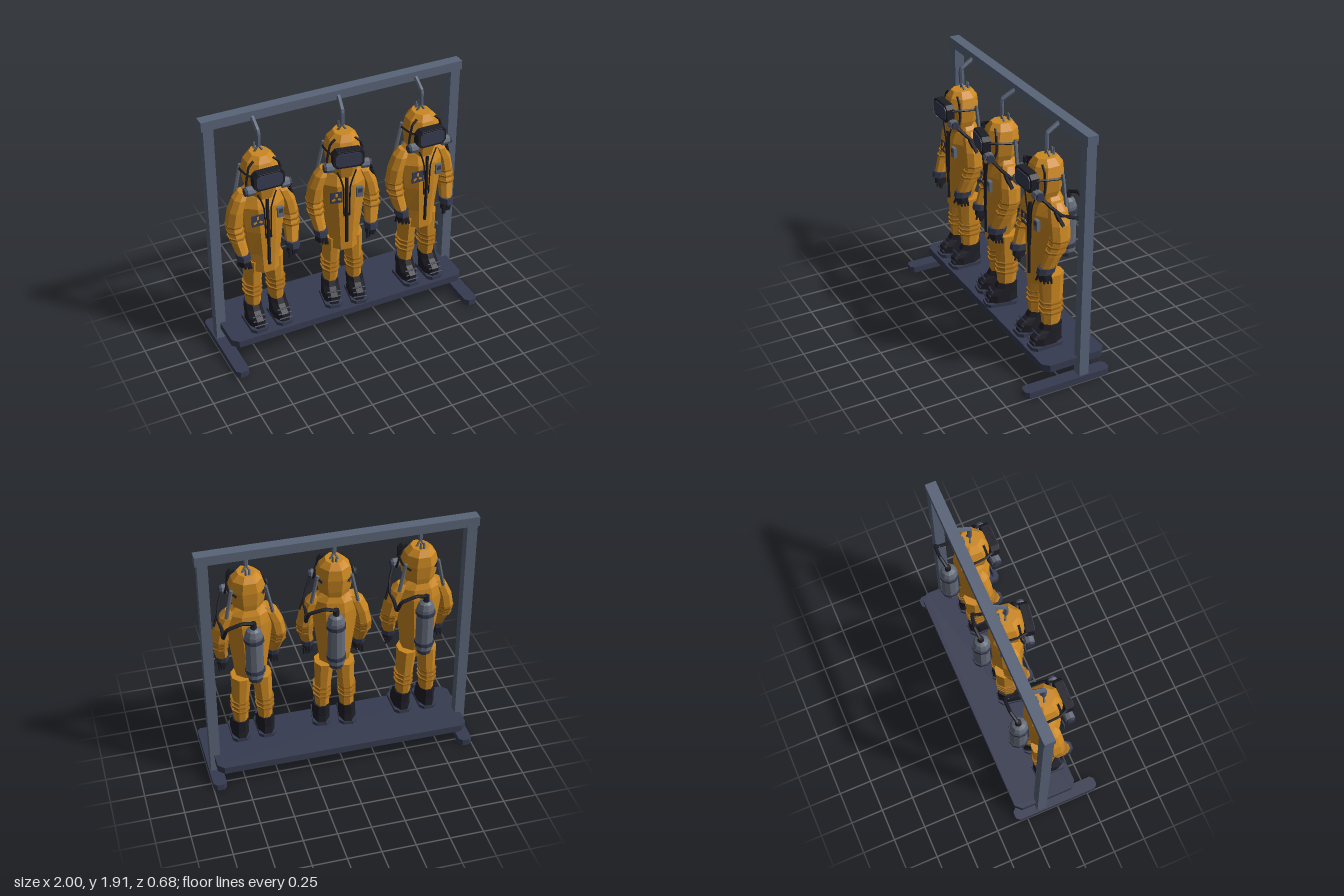
import * as THREE from 'three';

const mat = (name, color) => {
  const m = new THREE.MeshStandardMaterial({ color, flatShading: true });
  m.name = name;
  return m;
};
const V = (x, y, z) => new THREE.Vector3(x, y, z);

export function createModel() {
  const orange = mat('suit orange', 0xcc8822);
  const seam = mat('seam orange', 0xa66c1a);
  const steel = mat('rack steel', 0x596478);
  const navy = mat('dark navy', 0x363b50);
  const black = mat('rubber black', 0x1e1e26);
  const tankGrey = mat('tank grey', 0x646b78);
  const model = new THREE.Group();
  model.name = 'suitRack';

  const add = (parent, name, geo, material, x = 0, y = 0, z = 0) => {
    const m = new THREE.Mesh(geo, material);
    m.name = name;
    m.position.set(x, y, z);
    parent.add(m);
    return m;
  };
  const box = (parent, name, material, w, h, d, x, y, z) =>
    add(parent, name, new THREE.BoxGeometry(w, h, d), material, x, y, z);
  const tube = (parent, name, material, r, pts, sides = 6) => {
    const curve = new THREE.CatmullRomCurve3(pts.map((p) => V(...p)), false, 'catmullrom', 0.15);
    return add(parent, name, new THREE.TubeGeometry(curve, pts.length * 4, r, sides), material);
  };
  // straight closed rod between two points
  const rod = (parent, name, material, r0, r1, a, b, sides = 6) => {
    const p = V(...a), q = V(...b), d = q.clone().sub(p);
    const m = add(parent, name, new THREE.CylinderGeometry(r1, r0, d.length(), sides), material);
    m.position.copy(p).add(q).multiplyScalar(0.5);
    m.quaternion.setFromUnitVectors(V(0, 1, 0), d.normalize());
    return m;
  };
  // rectangle with cut corners, extruded along z
  const cutPlate = (w, h, depth, c) => {
    const a = w / 2, b = h / 2;
    const s = new THREE.Shape([[a - c, -b], [a, c - b], [a, b - c], [a - c, b], [c - a, b], [-a, b - c], [-a, c - b], [c - a, -b]]
      .map(([x, y]) => new THREE.Vector2(x, y)));
    return new THREE.ExtrudeGeometry(s, { depth, bevelEnabled: false });
  };
  const slab = (parent, name, material, w, d, h, c, x, y, z) =>
    add(parent, name, cutPlate(w, d, h, c).rotateX(-Math.PI / 2), material, x, y, z);
  // octagonal loft, sections from bottom to top: [y, cx, cz, rx, rz]
  const loft = (sections, n = 8) => {
    const pos = [], k = 1 / Math.cos(Math.PI / n);
    const pt = ([y, cx, cz, rx, rz], i) => {
      const a = ((i + 0.5) / n) * Math.PI * 2;
      return [cx + rx * k * Math.sin(a), y, cz + rz * k * Math.cos(a)];
    };
    const lo = sections[0], hi = sections[sections.length - 1];
    for (let i = 0; i < n; i++) {
      for (let j = 0; j + 1 < sections.length; j++) {
        const a = pt(sections[j], i), b = pt(sections[j], i + 1);
        const c = pt(sections[j + 1], i + 1), d = pt(sections[j + 1], i);
        pos.push(...a, ...b, ...c, ...a, ...c, ...d);
      }
      pos.push(hi[1], hi[0], hi[2], ...pt(hi, i), ...pt(hi, i + 1));
      pos.push(lo[1], lo[0], lo[2], ...pt(lo, i + 1), ...pt(lo, i));
    }
    const g = new THREE.BufferGeometry();
    g.setAttribute('position', new THREE.Float32BufferAttribute(pos, 3));
    g.computeVertexNormals();
    return g;
  };

  // rack
  for (const s of [-1, 1]) {
    slab(model, 'rackFoot', navy, 0.1, 0.675, 0.05, 0.025, s * 0.95, 0, 0);
    box(model, 'rackPost', steel, 0.075, 1.82, 0.075, s * 0.95, 0.95, -0.127);
  }
  box(model, 'rackTopBar', steel, 2, 0.07, 0.08, 0, 1.875, -0.127);
  slab(model, 'platform', navy, 1.91, 0.495, 0.055, 0.045, 0, 0.135, -0.075);

  const makeSuit = (x, yaw) => {
    const suit = new THREE.Group();
    suit.name = 'hangingSuit';
    suit.position.x = x;
    suit.rotation.y = yaw;
    model.add(suit);

    // hanger hook with its small loop
    tube(suit, 'hangerHook', steel, 0.017, [[0, 1.69, 0], [0, 1.8, 0], [0, 1.865, -0.1]]);
    for (const s of [-1, 1]) {
      rod(suit, 'hangerLoop', tankGrey, 0.009, 0.007, [s * 0.03, 1.64, -0.01], [0, 1.69, 0]);
      rod(suit, 'hoodPeg', tankGrey, 0.012, 0.006, [s * 0.012, 1.63, -0.05], [s * 0.012, 1.69, -0.05]);
    }

    // hood and jacket
    add(suit, 'jacket', loft([
      [0.70, 0, 0.035, 0.1, 0.08], [0.85, 0, 0.01, 0.115, 0.105], [1.05, 0, 0.005, 0.14, 0.115],
      [1.25, 0, 0, 0.165, 0.115], [1.33, 0, -0.01, 0.15, 0.095], [1.39, 0, -0.01, 0.09, 0.075],
    ]), orange);
    add(suit, 'hood', loft([
      [1.32, 0, 0.015, 0.085, 0.095], [1.42, 0, 0.015, 0.115, 0.115], [1.52, 0, 0.01, 0.128, 0.12],
      [1.6, 0, 0, 0.105, 0.105], [1.645, 0, 0, 0.062, 0.075],
    ]), orange);

    // zip, badge and chest radio
    tube(suit, 'zip', black, 0.013, [[0, 1.33, 0.118], [0, 1.24, 0.118], [0, 1.05, 0.123], [0, 0.86, 0.118], [0, 0.77, 0.118]]);
    for (const s of [-1, 1]) {
      tube(suit, 'jacketCord', black, 0.006, [[s * 0.07, 1.38, 0.12], [s * 0.045, 1.32, 0.125], [s * 0.025, 1.24, 0.123], [s * 0.02, 1.0, 0.123]], 4);
    }
    box(suit, 'chestBadge', navy, 0.09, 0.09, 0.008, -0.075, 1.165, 0.118);
    for (let i = 0; i < 3; i++) {
      const a = (i * Math.PI * 2) / 3 + Math.PI / 2;
      const leaf = box(suit, 'badgeMark', orange, 0.026, 0.016, 0.004, -0.075 + 0.024 * Math.cos(a), 1.162 + 0.024 * Math.sin(a), 0.123);
      leaf.rotation.z = a;
    }
    box(suit, 'chestRadio', tankGrey, 0.048, 0.08, 0.025, 0.095, 1.19, 0.118);
    box(suit, 'radioPanel', navy, 0.03, 0.03, 0.006, 0.095, 1.205, 0.132);

    // face mask
    add(suit, 'maskFrame', cutPlate(0.225, 0.135, 0.06, 0.028), black, 0, 1.507, 0.115);
    add(suit, 'visor', cutPlate(0.19, 0.1, 0.008, 0.02), navy, 0, 1.507, 0.174);
    rod(suit, 'maskBrow', black, 0.012, 0.012, [-0.08, 1.565, 0.165], [0.08, 1.565, 0.165]);

    for (const s of [-1, 1]) {
      // filters and mask straps
      rod(suit, 'filter', tankGrey, 0.036, 0.036, [s * 0.1, 1.435, 0.135], [s * 0.155, 1.435, 0.135], 8);
      rod(suit, 'filterCap', navy, 0.03, 0.03, [s * 0.15, 1.435, 0.135], [s * 0.172, 1.435, 0.135], 8);
      tube(suit, 'maskStrap', black, 0.01, [[s * 0.1, 1.53, 0.14], [s * 0.13, 1.53, 0.06], [s * 0.133, 1.52, -0.03], [s * 0.09, 1.5, -0.095]], 4);
      tube(suit, 'hoodSeam', black, 0.009, [[s * 0.07, 1.62, 0.07], [s * 0.11, 1.58, 0.075], [s * 0.132, 1.47, 0.08], [s * 0.14, 1.42, 0.1]], 5);
      rod(suit, 'shoulderRod', tankGrey, 0.014, 0.014, [s * 0.165, 1.32, -0.065], [s * 0.12, 1.54, -0.06]);

      // sleeve and its folds
      add(suit, 'sleeve', loft([
        [0.89, s * 0.188, 0.09, 0.042, 0.05], [1.0, s * 0.205, 0.045, 0.05, 0.06], [1.1, s * 0.212, 0.005, 0.057, 0.067],
        [1.22, s * 0.19, 0, 0.056, 0.07], [1.31, s * 0.155, -0.005, 0.05, 0.065], [1.355, s * 0.125, -0.01, 0.035, 0.045],
      ]), orange);
      for (let i = 0; i < 3; i++) {
        const y = 1.03 + i * 0.04, cz = 0.035 - i * 0.015;
        add(suit, 'sleeveFold', loft([[y - 0.006, s * 0.209, cz, 0.06, 0.07], [y + 0.006, s * 0.209, cz, 0.06, 0.07]]), seam);
      }

      // cuff and glove
      add(suit, 'cuff', loft([[0.865, s * 0.188, 0.1, 0.047, 0.062], [0.91, s * 0.188, 0.09, 0.047, 0.062]]), navy);
      add(suit, 'glovePalm', loft([[0.81, s * 0.185, 0.1, 0.036, 0.042], [0.87, s * 0.188, 0.1, 0.035, 0.045]]), black);
      for (let i = 0; i < 4; i++) {
        const fx = s * (0.155 + i * 0.02), fz = 0.125 - i * 0.017;
        rod(suit, 'gloveFinger', black, 0.011, 0.008, [fx, 0.83, fz], [fx, 0.765 + Math.abs(i - 1) * 0.008, fz - 0.01], 5);
      }
      rod(suit, 'gloveThumb', black, 0.012, 0.008, [s * 0.16, 0.86, 0.125], [s * 0.148, 0.795, 0.15], 5);

      // trouser leg and its folds
      add(suit, 'trouserLeg', loft([
        [0.33, s * 0.092, -0.005, 0.05, 0.06], [0.5, s * 0.09, -0.01, 0.053, 0.075], [0.78, s * 0.075, -0.01, 0.07, 0.088],
      ]), orange);
      for (let i = 0; i < 3; i++) {
        const y = 0.48 + i * 0.04;
        add(suit, 'legFold', loft([[y - 0.007, s * 0.092, -0.008, 0.066, 0.084], [y + 0.007, s * 0.092, -0.008, 0.066, 0.084]]), seam);
      }

      // boot
      slab(suit, 'bootSole', navy, 0.135, 0.255, 0.027, 0.03, s * 0.1, 0.21, 0.04);
      add(suit, 'boot', loft([
        [0.235, s * 0.098, 0.035, 0.063, 0.118], [0.295, s * 0.098, 0.035, 0.062, 0.112],
        [0.345, s * 0.097, 0, 0.06, 0.08], [0.385, s * 0.096, -0.012, 0.058, 0.07],
      ]), black);
      for (let i = 0; i < 3; i++) {
        rod(suit, 'bootStrap', navy, 0.006, 0.006, [s * 0.098 - 0.05, 0.265 + i * 0.03, 0.152 - i * 0.018], [s * 0.098 + 0.05, 0.265 + i * 0.03, 0.152 - i * 0.018], 5);
      }
    }

    // air tank with bands and valve
    const profile = [[0, 0.86], [0.05, 0.86], [0.064, 0.88], [0.064, 1.23], [0.05, 1.27], [0.022, 1.29], [0, 1.29]];
    add(suit, 'airTank', new THREE.LatheGeometry(profile.map(([r, y]) => new THREE.Vector2(r, y)), 10), tankGrey, 0, 0, -0.175);
    for (const y of [0.93, 1.19]) add(suit, 'tankBand', new THREE.CylinderGeometry(0.072, 0.072, 0.03, 10), navy, 0, y, -0.175);
    add(suit, 'tankBase', new THREE.CylinderGeometry(0.055, 0.05, 0.03, 10), navy, 0, 0.855, -0.175);
    add(suit, 'tankValve', new THREE.CylinderGeometry(0.02, 0.024, 0.05, 8), black, 0, 1.31, -0.18);
    box(suit, 'tankBracket', navy, 0.07, 0.2, 0.03, 0, 1.08, -0.112);

    // air hose from valve, around the shoulder, to the filter
    tube(suit, 'airHose', black, 0.013, [
      [0, 1.325, -0.185], [0.08, 1.355, -0.205], [0.19, 1.32, -0.2], [0.215, 1.23, -0.17], [0.205, 1.25, -0.085],
      [0.215, 1.29, 0.0], [0.19, 1.36, 0.07], [0.155, 1.42, 0.12],
    ]);
    rod(suit, 'hoseFitting', black, 0.02, 0.014, [0.235, 1.22, 0.0], [0.2, 1.32, 0.04]);
  };

  makeSuit(-0.63, 0);
  makeSuit(0, -0.18);
  makeSuit(0.625, 0);
  return model;
}
